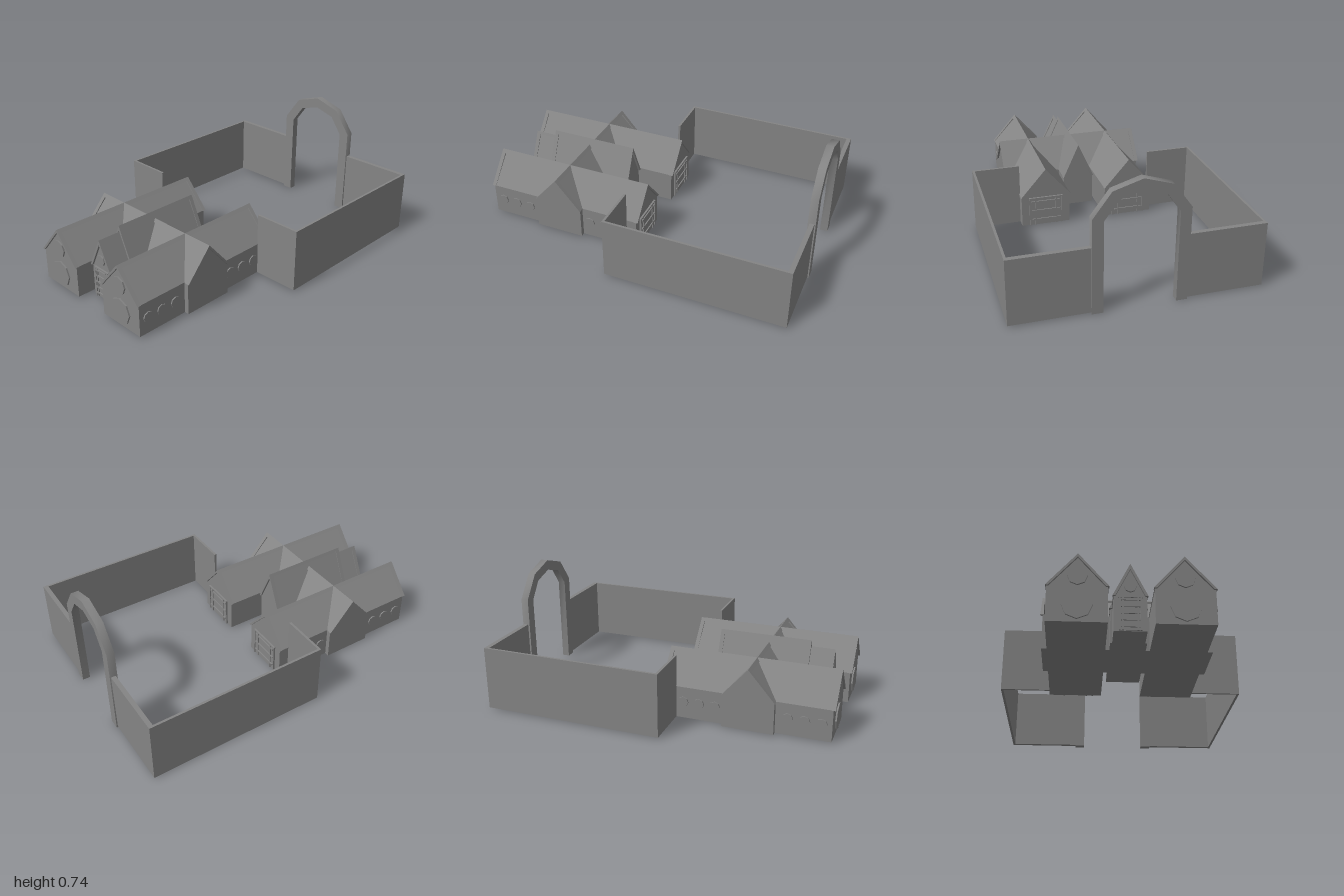
import * as THREE from 'three';
import { toCreasedNormals } from 'three/addons/utils/BufferGeometryUtils.js';

const stone = new THREE.MeshStandardMaterial({ color: 0x848484 });

function add(parent, name, geo, x = 0, y = 0, z = 0) {
  const m = new THREE.Mesh(geo, stone);
  m.name = name;
  m.position.set(x, y, z);
  parent.add(m);
  return m;
}

const box = (w, h, d) => new THREE.BoxGeometry(w, h, d);

function extrude(points, depth, hole) {
  const shape = new THREE.Shape(points.map(p => new THREE.Vector2(...p)));
  if (hole) shape.holes.push(new THREE.Path(hole.map(p => new THREE.Vector2(...p))));
  return new THREE.ExtrudeGeometry(shape, { depth, bevelEnabled: false });
}

// Inverted V profile
function chevron(half, eave, ridge, t) {
  const inner = half - t * half / (ridge - eave);
  return [[half, eave], [0, ridge], [-half, eave], [-inner, eave], [0, ridge - t], [inner, eave]];
}

// Gabled block running along z, with roof slabs, ridge cap and raised trim at both ends
function gabled(name, { half, ridge, z0, z1, trim = 0.018 }) {
  const g = new THREE.Group();
  g.name = name;
  const eave = 0.2, inset = 0.012, w = half - 0.006;
  add(g, 'walls', extrude([[-w, 0.008], [w, 0.008], [w, eave], [0, ridge - 0.018], [-w, eave]],
    z1 - z0 - 2 * inset), 0, 0, z0 + inset);
  add(g, 'roof', extrude(chevron(half - 0.003, eave, ridge - 0.012, 0.022),
    z1 - z0 - 0.04), 0, 0, z0 + 0.02);
  const drop = 0.018, cap = drop * half / (ridge - eave);
  add(g, 'ridgeCap', extrude([[cap, ridge - drop], [0, ridge], [-cap, ridge - drop]],
    z1 - z0 - 0.04), 0, 0, z0 + 0.02);
  for (const z of [z0, z1 - 0.024]) {
    add(g, 'gableTrim', extrude(chevron(half, eave, ridge, trim), 0.024), 0, 0, z);
  }
  return g;
}

// Octagonal window facing +z
function roundWindow(r) {
  const g = new THREE.Group();
  g.name = 'roundWindow';
  const oct = k => Array.from({ length: 8 }, (_, i) =>
    [k * Math.sin(i * Math.PI / 4), k * Math.cos(i * Math.PI / 4)]);
  add(g, 'windowFrame', extrude(oct(r), 0.013, oct(r * 0.86)), 0, 0, -0.005);
  add(g, 'pane', extrude(oct(r * 0.9), 0.006), 0, 0, -0.004);
  return g;
}

// Barred door facing +z
function barredDoor(w, h, rows, post) {
  const g = new THREE.Group();
  g.name = 'barredDoor';
  add(g, 'doorPanel', box(w, h, 0.008), 0, h / 2, 0);
  add(g, 'lintel', box(w + 0.01, 0.008, 0.016), 0, h, 0.002);
  for (const s of [-1, 1]) {
    add(g, 'jamb', box(0.008, h, 0.016), s * w / 2, h / 2, 0.002);
    add(g, 'upright', box(0.008, h, 0.012), s * post, h / 2, 0.004);
  }
  for (let i = 0; i < rows; i++) {
    add(g, 'slat', box(w * 0.9, 0.01, 0.014), 0, h * (i + 0.6) / rows, 0.004);
  }
  return g;
}

function place(parent, obj, x, y, z, ry = 0) {
  obj.position.set(x, y, z);
  obj.rotation.y = ry;
  parent.add(obj);
}

export function createModel() {
  const model = new THREE.Group();
  model.name = 'walledHouse';

  // Two long wings with windows and a barred rear door
  for (const s of [-1, 1]) {
    const wing = gabled(s > 0 ? 'leftWing' : 'rightWing',
      { half: 0.157, ridge: 0.38, z0: 0, z1: 1 });
    wing.position.x = s * 0.266;
    place(wing, roundWindow(0.078), 0, 0.1, 0.989);
    place(wing, roundWindow(0.051), 0, 0.258, 0.989);
    for (const z of [0.93, 0.835, 0.74, 0.32, 0.225, 0.13]) {
      place(wing, roundWindow(0.032), s * 0.15, 0.108, z, s * Math.PI / 2);
    }
    place(wing, barredDoor(0.2, 0.18, 3, 0.065), 0, 0.01, 0.011, Math.PI);
    model.add(wing);
  }

  // Cross hall along x
  const hall = gabled('crossHall', { half: 0.157, ridge: 0.38, z0: -0.457, z1: 0.457 });
  place(model, hall, 0, 0, 0.52, Math.PI / 2);

  // Tall central nave and entrance porch
  model.add(gabled('nave', { half: 0.1, ridge: 0.42, z0: 0.22, z1: 0.77, trim: 0.03 }));
  const porch = gabled('porch', { half: 0.09, ridge: 0.383, z0: 0.7, z1: 0.91, trim: 0.03 });
  place(porch, barredDoor(0.108, 0.185, 5, 0.038), 0, 0.01, 0.899);
  place(porch, roundWindow(0.032), 0, 0.255, 0.899);
  model.add(porch);

  // Courtyard walls
  const walls = new THREE.Group();
  walls.name = 'courtyardWalls';
  for (const s of [-1, 1]) {
    add(walls, 'sideWall', box(0.014, 0.378, 1.08), s * 0.691, 0.197, -0.452);
    add(walls, 'frontWall', box(0.284, 0.378, 0.014), s * 0.556, 0.197, 0.081);
    add(walls, 'rearWall', box(0.448, 0.378, 0.027), s * 0.474, 0.197, -0.979);
  }
  model.add(walls);

  // Gateway arch, shaded smoothly around its bend
  const half = [[0.262, 0], [0.262, 0.545], [0.16, 0.685], [0, 0.735]];
  const inner = [[0, 0.672], [0.125, 0.635], [0.2, 0.53], [0.2, 0]];
  const mirror = pts => pts.filter(p => p[0] > 0).reverse().map(([x, y]) => [-x, y]);
  const arch = extrude([...half, ...mirror(half), ...mirror(inner), ...inner], 0.045);
  add(model, 'gatewayArch', toCreasedNormals(arch, 0.8), 0, 0, -1);

  return model;
}
